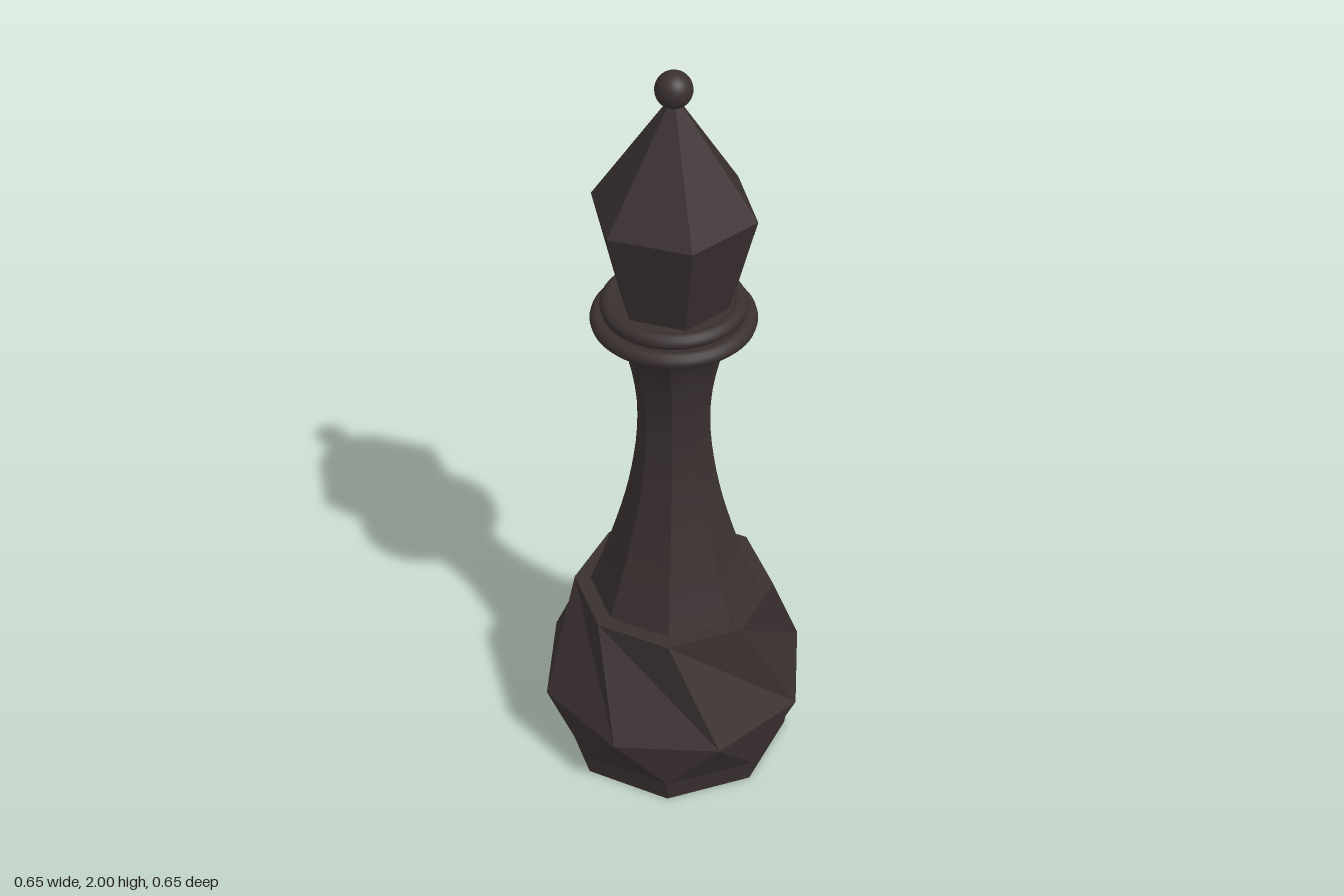
import * as THREE from 'three';

const V = (x, y) => new THREE.Vector2(x, y);

// Eight-sided ring of points; turn is in steps of 45 degrees
function ring(radius, y, turn = 0) {
  return Array.from({ length: 8 }, (_, k) => {
    const a = (k + turn) * Math.PI / 4;
    return [radius * Math.cos(a), y, radius * Math.sin(a)];
  });
}

// Triangle band between two rings; shift twists the upper ring
function band(lower, upper, shift = 0) {
  const out = [];
  for (let k = 0; k < 8; k++) {
    const a = lower[k], b = lower[(k + 1) % 8];
    const c = upper[(k + shift) % 8], d = upper[(k + shift + 1) % 8];
    out.push(...a, ...c, ...b, ...b, ...c, ...d);
  }
  return out;
}

function faceted(geometry) {
  const g = geometry.toNonIndexed();
  g.computeVertexNormals();
  return g;
}

export function createModel() {
  const group = new THREE.Group();
  const ebony = new THREE.MeshStandardMaterial({ color: 0x3a3030 });
  ebony.name = 'ebony';

  const add = (name, geometry, y = 0) => {
    const mesh = new THREE.Mesh(geometry, ebony);
    mesh.name = name;
    mesh.position.y = y;
    group.add(mesh);
  };

  // Twisted faceted base with a flat ledge on top
  const foot = ring(0.3, 0), skirt = ring(0.31, 0.065);
  const belly = ring(0.354, 0.21, 0.5), shoulder = ring(0.258, 0.5);
  const base = new THREE.BufferGeometry();
  base.setAttribute('position', new THREE.Float32BufferAttribute([
    ...band(foot, skirt),
    ...band(skirt, belly),
    ...band(belly, shoulder, 2),
    ...band(shoulder, ring(0.19, 0.5)),
  ], 3));
  base.computeVertexNormals();
  add('base', base);
  add('baseUnderside', new THREE.CircleGeometry(0.3, 8).rotateX(Math.PI / 2));

  // Eight-sided flared column
  const profile = new THREE.SplineCurve([
    V(0.217, 0.5), V(0.18, 0.6), V(0.148, 0.7), V(0.121, 0.8), V(0.102, 0.9), V(0.091, 1.0),
    V(0.092, 1.1), V(0.109, 1.2), V(0.134, 1.27), V(0.165, 1.315), V(0.185, 1.335),
  ]).getPoints(24);
  add('column', faceted(new THREE.LatheGeometry(profile, 8)));

  // Round collar of two rings with a filled core
  add('lowerCollarRing', new THREE.TorusGeometry(0.18, 0.021, 12, 64).rotateX(Math.PI / 2), 1.34);
  add('upperCollarRing', new THREE.TorusGeometry(0.157, 0.02, 12, 64).rotateX(Math.PI / 2), 1.378);
  add('collarCore', new THREE.CylinderGeometry(0.157, 0.175, 0.055, 48), 1.3655);

  // Six-sided head: widening lower part and pointed upper part
  const sides = (top, bottom, height) => faceted(
    new THREE.CylinderGeometry(top, bottom, height, 6, 1, true, Math.PI / 2));
  add('headLower', sides(0.203, 0.138, 0.255), 1.5175);
  add('headUpper', sides(0.008, 0.203, 0.29), 1.79);

  // Ball finial
  add('finial', new THREE.SphereGeometry(0.044, 32, 20), 1.956);

  return group;
}
